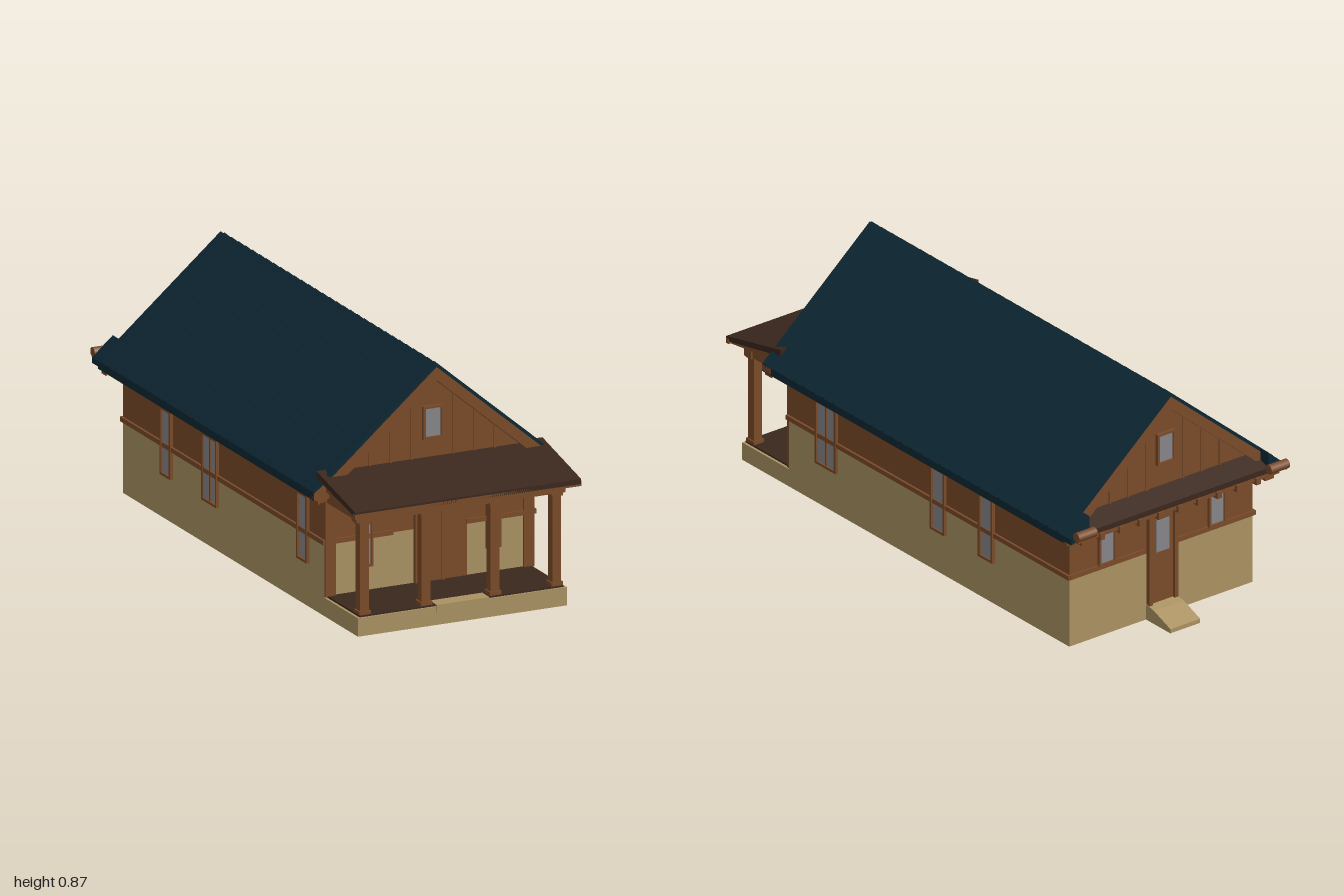
import * as THREE from 'three';

export function createModel() {
  const house = new THREE.Group();
  house.name = 'cabin';
  const mat = (name, color) => {
    const m = new THREE.MeshStandardMaterial({ color });
    m.name = name;
    return m;
  };
  const wood = mat('wood', 0x7a4a28);
  const plaster = mat('plaster', 0xaa9262);
  const roofBlue = mat('roofBlue', 0x0d2733);
  const darkWood = mat('darkWood', 0x3a271c);
  const glass = mat('glass', 0x86868a);

  const add = (name, geo, material, parent = house) => {
    const m = new THREE.Mesh(geo, material);
    m.name = name;
    parent.add(m);
    return m;
  };
  // box from its lower and upper limits on each axis
  const box = (name, material, x0, x1, y0, y1, z0, z1, parent = house) => {
    const m = add(name, new THREE.BoxGeometry(x1 - x0, y1 - y0, z1 - z0), material, parent);
    m.position.set((x0 + x1) / 2, (y0 + y1) / 2, (z0 + z1) / 2);
    return m;
  };
  const outline = pts => new THREE.Shape(pts.map(p => new THREE.Vector2(...p)));
  // profile in x/y pulled from z0 to z1
  const prism = (name, material, shape, z0, z1, parent = house) => {
    const m = add(name, new THREE.ExtrudeGeometry(shape, { depth: z1 - z0, bevelEnabled: false }), material, parent);
    m.position.z = z0;
    return m;
  };
  // profile in z/y pulled across x
  const crossPrism = (name, material, pts, x0, x1) => {
    const m = prism(name, material, outline(pts.map(([z, y]) => [-z, y])), 0, x1 - x0);
    m.rotation.y = Math.PI / 2;
    m.position.set(x0, 0, 0);
    return m;
  };

  const RIDGE = 0.87, SLOPE = 0.4 / 0.47;
  const roofY = x => RIDGE - SLOPE * Math.abs(x);
  const chevron = (x, top, bottom) => outline([
    [-x, roofY(x) - bottom], [0, RIDGE - bottom], [x, roofY(x) - bottom],
    [x, roofY(x) - top], [0, RIDGE - top], [-x, roofY(x) - top]]);

  // walls
  box('lowerWalls', plaster, -0.4, 0.4, 0, 0.265, -0.865, 0.69);
  prism('upperWalls', wood, outline([[-0.4, 0.265], [0.4, 0.265], [0.4, 0.5], [0, 0.84], [-0.4, 0.5]]), -0.865, 0.69);
  const gable = outline([[-0.4, 0.47], [0.4, 0.47], [0.4, 0.5], [0, 0.84], [-0.4, 0.5]]);
  prism('frontGable', wood, gable, 0.69, 0.715);
  prism('backGable', wood, gable, -0.885, -0.865);

  // trim between plaster and boards
  for (const s of [-1, 1]) {
    box('sideTrim', wood, s * 0.402 - 0.007, s * 0.402 + 0.007, 0.258, 0.275, -0.872, 0.697);
    box('frontTrim', wood, s * 0.27 - 0.13, s * 0.27 + 0.13, 0.258, 0.275, 0.69, 0.698);
    box('backTrim', wood, s * 0.235 - 0.165, s * 0.235 + 0.165, 0.258, 0.275, -0.873, -0.865);
    box('wallPlate', wood, s * 0.41 - 0.012, s * 0.41 + 0.012, 0.44, 0.465, -0.88, 0.72);
    for (let i = 0; i < 24; i++) {
      const z = -0.84 + i * 0.066;
      if (i % 2) box('wallBatten', wood, s * 0.4 - 0.003, s * 0.4 + 0.003, 0.405, 0.45, z - 0.005, z + 0.005);
      box('rafterTail', wood, s * 0.428 - 0.03, s * 0.428 + 0.03, 0.437, 0.46, z - 0.009, z + 0.009);
    }
  }

  // main roof with raised seams
  prism('roof', roofBlue, chevron(0.47, 0, 0.028), -0.92, 0.75);
  for (let z = -0.89; z < 0.74; z += 0.054) prism('roofSeam', roofBlue, chevron(0.47, -0.004, 0.01), z, z + 0.01);

  // boards along the gable edges
  prism('frontBargeboard', wood, chevron(0.455, 0.012, 0.06), 0.715, 0.753);
  prism('backBargeboard', wood, chevron(0.455, 0.012, 0.06), -0.923, -0.885);
  for (const x of [-0.24, -0.16, -0.08, 0.08, 0.16, 0.24]) {
    box('gableBatten', wood, x - 0.004, x + 0.004, 0.5, roofY(x) - 0.06, 0.715, 0.719);
    box('gableBatten', wood, x - 0.004, x + 0.004, 0.5, roofY(x) - 0.06, -0.889, -0.885);
  }

  // small roof across the back gable, with its beam and blue corners
  crossPrism('backLedgeRoof', darkWood, [[-0.87, 0.515], [-0.87, 0.485], [-0.965, 0.46], [-0.965, 0.48]], -0.4, 0.4);
  box('backLedgeBeam', wood, -0.44, 0.44, 0.445, 0.47, -0.965, -0.945);
  for (const s of [-1, 1]) {
    const end = outline([[s * 0.39, roofY(0.39)], [s * 0.47, 0.47], [s * 0.47, 0.45], [s * 0.39, 0.47]]);
    prism('roofCorner', roofBlue, end, -0.965, -0.92);
    box('ledgeBracket', wood, s * 0.4 - 0.02, s * 0.4 + 0.02, 0.43, 0.455, -0.96, -0.865);
    const log = add('beamEnd', new THREE.CylinderGeometry(0.018, 0.018, 0.08, 10), wood);
    log.rotation.z = Math.PI / 2;
    log.position.set(s * 0.42, 0.482, -0.98);
  }
  for (let i = 0; i < 9; i++) {
    const x = -0.34 + i * 0.085;
    box('ledgeRafter', wood, x - 0.01, x + 0.01, 0.435, 0.46, -0.975, -0.865);
  }

  // porch floor and step
  box('porchBase', plaster, -0.4, 0.4, 0, 0.066, 0.69, 0.95);
  box('porchDeck', darkWood, -0.39, 0.39, 0.066, 0.072, 0.69, 0.943);
  box('frontStep', plaster, -0.1, 0.1, 0.045, 0.074, 0.9, 0.957);

  // porch posts, beams and roof
  for (const x of [-0.368, -0.132, 0.132, 0.368]) {
    box('porchPost', wood, x - 0.017, x + 0.017, 0.07, 0.42, 0.902, 0.936);
    box('postFoot', wood, x - 0.022, x + 0.022, 0.07, 0.085, 0.897, 0.941);
    box('postHead', wood, x - 0.022, x + 0.022, 0.395, 0.41, 0.897, 0.941);
  }
  box('porchBeam', wood, -0.4, 0.4, 0.405, 0.438, 0.9, 0.94);
  for (const s of [-1, 1]) {
    box('porchSideBeam', wood, s * 0.375 - 0.02, s * 0.375 + 0.02, 0.41, 0.445, 0.69, 0.92);
    box('wallPost', wood, s * 0.38 - 0.02, s * 0.38 + 0.02, 0.07, 0.44, 0.69, 0.7);
    const end = outline([[s * 0.47, 0.468], [s * 0.47, 0.445], [s * 0.44, 0.43], [s * 0.41, 0.445], [s * 0.41, 0.51]]);
    prism('eaveEnd', wood, end, 0.7, 0.752);
  }
  crossPrism('porchRoof', darkWood, [[0.7, 0.53], [0.7, 0.505], [1, 0.447], [1, 0.465]], -0.435, 0.43);
  crossPrism('porchRoofFrame', wood, [[0.7, 0.507], [0.7, 0.475], [0.99, 0.438], [0.99, 0.452]], -0.425, 0.42);
  box('porchFascia', wood, -0.437, 0.432, 0.44, 0.458, 0.985, 1);

  // framed window facing +z, then turned to its wall
  const opening = (name, w, h, x, y, z, turn, bars = 0) => {
    const g = new THREE.Group();
    g.name = name;
    const rect = (a, b) => [[-a, -b], [a, -b], [a, b], [-a, b]];
    const frame = outline(rect(w / 2, h / 2));
    frame.holes.push(new THREE.Path(rect(w / 2 - 0.009, h / 2 - 0.009).map(p => new THREE.Vector2(...p))));
    prism('windowFrame', wood, frame, 0, 0.012, g);
    box('windowPane', glass, -w / 2 + 0.005, w / 2 - 0.005, -h / 2 + 0.005, h / 2 - 0.005, -0.002, 0.005, g);
    if (bars) box('windowBar', wood, -0.003, 0.003, -h / 2, h / 2, 0, 0.009, g);
    g.position.set(x, y, z);
    g.rotation.y = turn;
    house.add(g);
  };
  const Q = Math.PI / 2;
  for (const s of [-1, 1]) {
    opening('frontWindow', 0.056, 0.245, s * 0.245, 0.28, 0.69, 0);
    opening('backWindow', 0.075, 0.13, s * 0.24, 0.335, -0.865, 2 * Q);
  }
  opening('frontGableWindow', 0.078, 0.12, 0, 0.652, 0.715, 0);
  opening('backGableWindow', 0.078, 0.12, 0, 0.652, -0.885, 2 * Q);
  for (const [z, w] of [[0.475, 0.115], [-0.145, 0.08], [-0.412, 0.08]]) opening('rightSideWindow', w, 0.245, 0.4, 0.28, z, Q, w > 0.1);
  for (const [z, w] of [[0.535, 0.08], [-0.18, 0.115], [-0.52, 0.08]]) opening('leftSideWindow', w, 0.245, -0.4, 0.28, z, -Q, w > 0.1);

  // front door with the boarded panel beside it
  box('doorSidePanel', wood, 0.05, 0.145, 0.07, 0.4, 0.69, 0.694);
  box('frontDoor', wood, -0.047, 0.044, 0.072, 0.385, 0.69, 0.696);
  for (const x of [-0.052, 0.049]) box('doorJamb', wood, x - 0.006, x + 0.006, 0.07, 0.395, 0.69, 0.703);
  box('doorHead', wood, -0.058, 0.055, 0.385, 0.397, 0.69, 0.703);

  // back door and sloping step
  box('backDoor', wood, -0.052, 0.052, 0.05, 0.4, -0.873, -0.865);
  box('backDoorGlass', glass, -0.028, 0.028, 0.25, 0.37, -0.877, -0.872);
  for (const x of [-0.055, 0.055]) box('backDoorJamb', wood, x - 0.008, x + 0.008, 0.05, 0.41, -0.882, -0.865);
  box('backDoorHead', wood, -0.063, 0.063, 0.4, 0.415, -0.882, -0.865);
  crossPrism('backStep', plaster, [[-0.86, 0], [-0.86, 0.06], [-0.91, 0.05], [-1, 0.016], [-1, 0]], -0.065, 0.065);

  return house;
}
